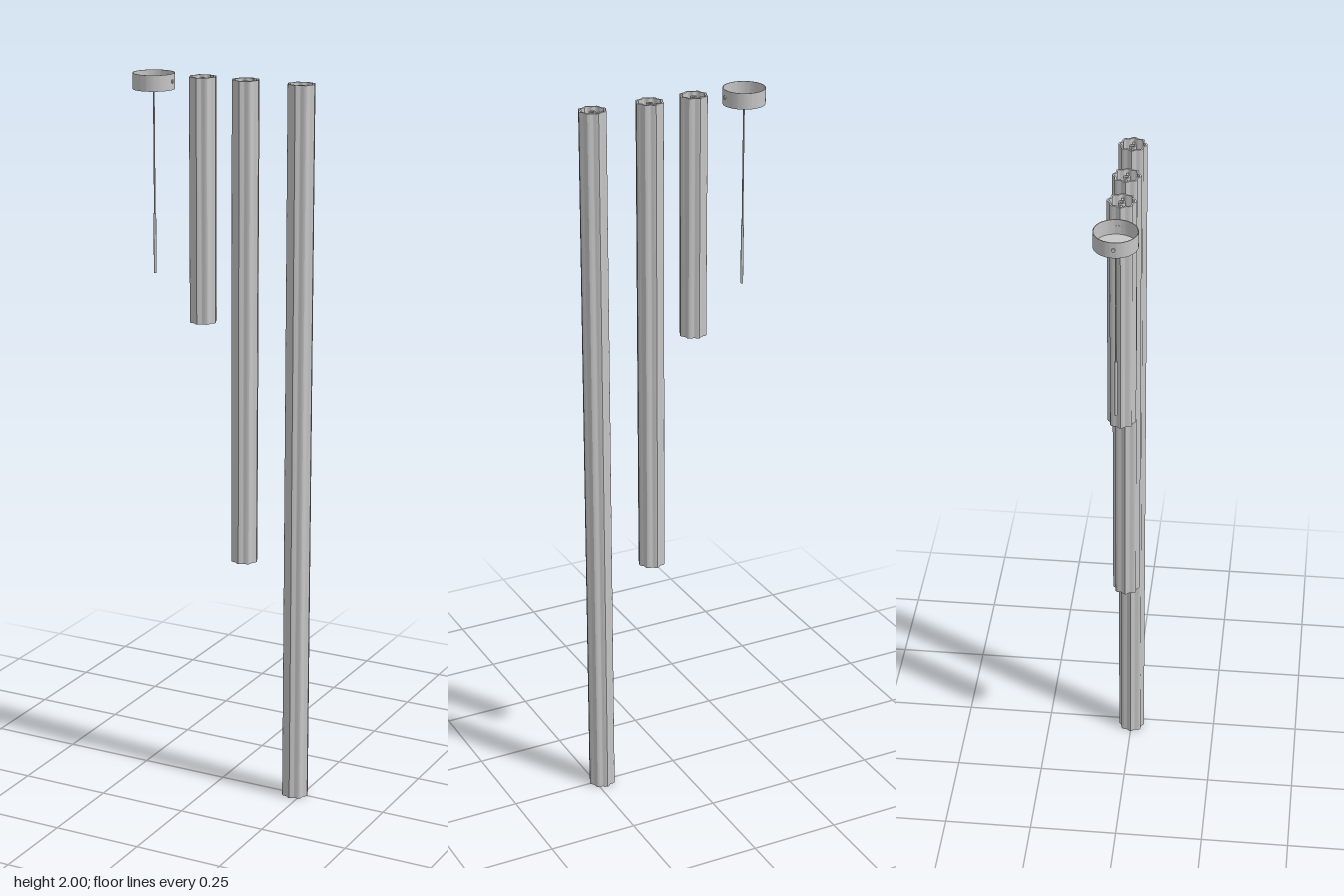
import * as THREE from 'three';
import { toCreasedNormals } from 'three/addons/utils/BufferGeometryUtils.js';

const metal = new THREE.MeshStandardMaterial({ color: 0xc6c6c6 });
metal.name = 'satin grey';

function part(name, geometry, x = 0, y = 0, z = 0) {
  const mesh = new THREE.Mesh(geometry, metal);
  mesh.name = name;
  mesh.position.set(x, y, z);
  return mesh;
}

// Closed outline with eight soft lobes, one of them on each axis
function lobedOutline(radius, wave) {
  const points = [];
  for (let i = 0; i < 96; i++) {
    const a = (i / 96) * Math.PI * 2;
    const r = radius + wave * Math.cos(8 * a);
    points.push(new THREE.Vector2(r * Math.cos(a), r * Math.sin(a)));
  }
  return points;
}

// Hollow fluted tube hanging down from y = 2
function tubeShade(name, x, length) {
  const group = new THREE.Group();
  group.name = name;
  group.position.set(x, 2 - length, 0);

  const section = new THREE.Shape(lobedOutline(0.0350, 0.0028));
  section.holes.push(new THREE.Path(lobedOutline(0.0298, 0.0026)));
  const wall = new THREE.ExtrudeGeometry(section, { depth: length, bevelEnabled: false });
  wall.rotateX(-Math.PI / 2);
  group.add(part('flutedWall', toCreasedNormals(wall, 0.6)));

  // Mounting bar and ring inside the top opening
  for (const side of [-1, 1]) {
    group.add(part('mountingBar', new THREE.BoxGeometry(0.020, 0.006, 0.006), side * 0.017, length - 0.012));
  }
  const ring = new THREE.LatheGeometry([
    [0.005, -0.008], [0.009, -0.008], [0.009, 0.008], [0.005, 0.008], [0.005, -0.008],
  ].map(([r, y]) => new THREE.Vector2(r, y)), 24);
  group.add(part('mountingRing', toCreasedNormals(ring, 0.6), 0, length - 0.012));
  return group;
}

// Ceiling cup with cable, open at the top
function canopy(x) {
  const group = new THREE.Group();
  group.name = 'canopy';
  group.position.set(x, 0, 0);

  const profile = [
    [0, 1.957], [0.0565, 1.957], [0.0565, 2], [0.0545, 2], [0.0545, 1.959], [0, 1.959],
  ].map(([r, y]) => new THREE.Vector2(r, y));
  group.add(part('cup', toCreasedNormals(new THREE.LatheGeometry(profile, 64), 0.6)));

  // Side screws
  for (const side of [-1, 1]) {
    const screw = new THREE.CylinderGeometry(0.005, 0.005, 0.006, 16);
    screw.rotateZ(Math.PI / 2);
    group.add(part('sideScrew', screw, side * 0.0565, 1.98));
  }

  // Cable with a thicker sleeve at its lower end
  group.add(part('cableGrip', new THREE.CylinderGeometry(0.005, 0.005, 0.006, 16), 0, 1.955));
  group.add(part('cable', new THREE.CylinderGeometry(0.0022, 0.0022, 0.34, 12), 0, 1.79));
  group.add(part('cableSleeve', new THREE.CylinderGeometry(0.0038, 0.0038, 0.165, 12), 0, 1.5375));
  return group;
}

export function createModel() {
  const model = new THREE.Group();
  model.name = 'pendantLampSet';
  model.add(canopy(-0.208));
  model.add(tubeShade('shortTube', -0.06, 0.665));
  model.add(tubeShade('mediumTube', 0.067, 1.33));
  model.add(tubeShade('longTube', 0.229, 2));
  return model;
}
